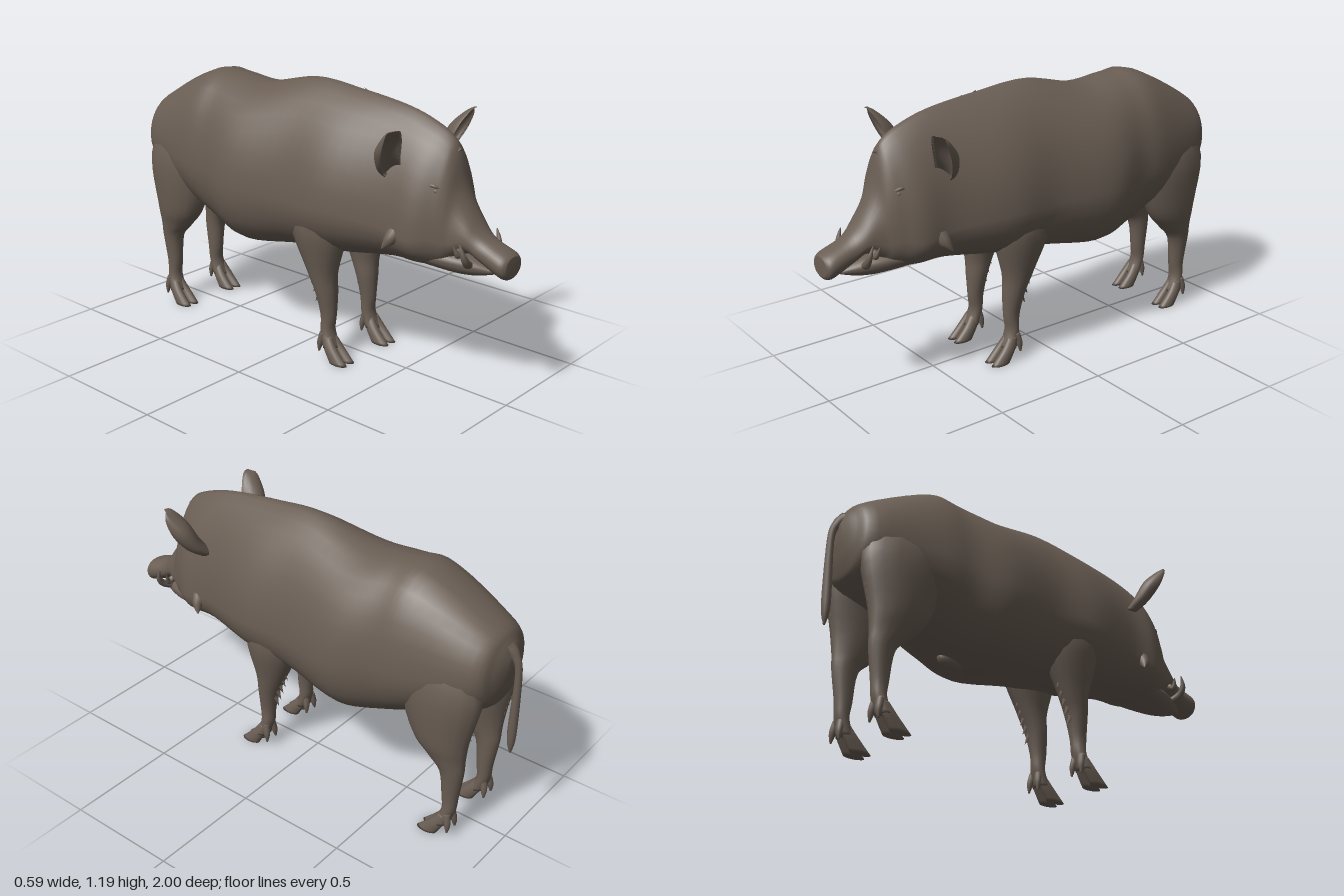
import * as THREE from 'three';

const hide = new THREE.MeshStandardMaterial({ color: 0x6a5e54 });
hide.name = 'brown hide';

// Catmull-Rom interpolation of every column of a table of sections
function smooth(rows, sub) {
  const out = [], last = rows.length - 1;
  for (let i = 0; i < last; i++) {
    const a = rows[Math.max(i - 1, 0)], b = rows[i], c = rows[i + 1], d = rows[Math.min(i + 2, last)];
    for (let k = 0; k < sub; k++) {
      const t = k / sub;
      out.push(b.map((v, j) => v + 0.5 * t * (c[j] - a[j] + t * (2 * a[j] - 5 * v + 4 * c[j] - d[j]
        + t * (3 * (v - c[j]) + d[j] - a[j])))));
    }
  }
  out.push(rows[last]);
  return out;
}

// Closed skin over rings of points; side = -1 mirrors it in x
function skin(rings, side = 1) {
  const n = rings[0].length, pos = [], idx = [];
  rings.forEach(r => r.forEach(p => pos.push(p[0] * side, p[1], p[2])));
  for (let i = 0; i < rings.length - 1; i++) {
    for (let j = 0; j < n; j++) {
      const a = i * n + j, b = i * n + (j + 1) % n;
      idx.push(a, b, a + n, b, b + n, a + n);
    }
  }
  [0, rings.length - 1].forEach(i => {
    const c = [0, 1, 2].map(k => rings[i].reduce((s, p) => s + p[k], 0) / n), m = pos.length / 3;
    pos.push(c[0] * side, c[1], c[2]);
    for (let j = 0; j < n; j++) {
      const a = i * n + j, b = i * n + (j + 1) % n;
      idx.push(...(i ? [a, b, m] : [b, a, m]));
    }
  });
  // turn the faces outward if the enclosed volume is negative
  const P = i => new THREE.Vector3().fromArray(pos, i * 3);
  let vol = 0;
  for (let i = 0; i < idx.length; i += 3) vol += P(idx[i]).dot(P(idx[i + 1]).cross(P(idx[i + 2])));
  if (vol < 0) idx.reverse();
  const g = new THREE.BufferGeometry();
  g.setAttribute('position', new THREE.Float32BufferAttribute(pos, 3));
  g.setIndex(idx);
  g.computeVertexNormals();
  return g;
}

const ring = (n, f) => Array.from({ length: n }, (_, i) => f(Math.cos(i / n * 2 * Math.PI), Math.sin(i / n * 2 * Math.PI)));
const power = (v, e) => Math.sign(v) * Math.abs(v) ** e;

// Sections along z: z, bottom, top, half width, height of widest point, upper pinch.
// The underside is boxiest around the belly.
const trunk = rows => skin(smooth(rows, 5).map(([z, lo, hi, w, mid, a]) => {
  const b = 0.9 - 0.25 * Math.exp(-(((z + 0.25) / 0.25) ** 2));
  return ring(32, (c, s) => [w * power(c, s > 0 ? a : b), mid + s * (s > 0 ? hi - mid : mid - lo), z]);
}));

// Sections along y: y, x, z, half width, half depth
const limb = (rows, side) => skin(smooth(rows, 4).map(([y, x, z, rx, rz]) =>
  ring(16, (c, s) => [x + rx * c, y, z + rz * s])), side);

// Tapered round strand: x, y, z, radius
function strand(rows, side = 1) {
  const r = smooth(rows, 5);
  return skin(r.map((p, i) => {
    const a = r[Math.max(i - 1, 0)], b = r[Math.min(i + 1, r.length - 1)];
    const t = new THREE.Vector3(b[0] - a[0], b[1] - a[1], b[2] - a[2]).normalize();
    const u = new THREE.Vector3(0, 0.3, 1).cross(t).normalize(), v = t.clone().cross(u);
    return ring(10, (c, s) => ['x', 'y', 'z'].map((k, j) => p[j] + p[3] * (u[k] * c + v[k] * s)));
  }), side);
}

export function createModel() {
  const model = new THREE.Group();
  const add = (name, geometry, x = 0, y = 0, z = 0) => {
    const m = new THREE.Mesh(geometry, hide);
    m.name = name;
    m.position.set(x, y, z);
    model.add(m);
    return m;
  };

  // Torso, neck, head and upper snout in one skin
  add('bodyAndHead', trunk([
    [-0.955, 0.8, 0.88, 0.03, 0.84, 1],
    [-0.93, 0.69, 0.94, 0.11, 0.82, 1],
    [-0.87, 0.62, 1, 0.185, 0.8, 0.9],
    [-0.6, 0.51, 1.14, 0.25, 0.76, 0.85],
    [-0.45, 0.45, 1.142, 0.262, 0.74, 0.9],
    [-0.27, 0.42, 1.13, 0.295, 0.71, 1],
    [0, 0.455, 1.185, 0.255, 0.7, 1.3],
    [0.23, 0.475, 1.17, 0.254, 0.7, 1.45],
    [0.48, 0.515, 1.138, 0.192, 0.68, 1.4],
    [0.62, 0.52, 1.095, 0.182, 0.65, 1.4],
    [0.7, 0.525, 1.05, 0.142, 0.66, 1.35],
    [0.735, 0.54, 0.99, 0.122, 0.65, 1.25],
    [0.765, 0.57, 0.86, 0.105, 0.65, 1.1],
    [0.82, 0.605, 0.755, 0.085, 0.66, 1],
    [0.88, 0.575, 0.685, 0.069, 0.625, 0.9],
    [0.975, 0.533, 0.643, 0.071, 0.592, 0.85],
    [1, 0.548, 0.627, 0.05, 0.588, 0.9],
  ]));
  add('lowerJaw', trunk([
    [0.6, 0.525, 0.63, 0.13, 0.58, 1],
    [0.75, 0.512, 0.61, 0.1, 0.57, 0.8],
    [0.84, 0.515, 0.59, 0.065, 0.56, 0.8],
    [0.915, 0.535, 0.558, 0.02, 0.547, 1],
  ]));
  add('sheath', new THREE.SphereGeometry(1, 16, 10), 0, 0.45, -0.39).scale.set(0.035, 0.045, 0.065);
  add('tail', strand([
    [0, 0.91, -0.925, 0.035], [0, 0.88, -0.958, 0.02], [0, 0.8, -0.98, 0.015],
    [0, 0.52, -0.978, 0.019], [0, 0.43, -0.979, 0.004],
  ]));

  // Raised bristle crest from forehead to shoulders
  for (let i = 0; i < 9; i++) {
    const y = 1.01 + 0.145 * Math.sin(Math.min(1, i / 7) * Math.PI / 2);
    const bristle = add('crestBristle', new THREE.ConeGeometry(0.022, 0.07, 6), 0, y, 0.7 - i * 0.07);
    bristle.rotation.x = -0.9;
    bristle.scale.x = 0.6;
  }

  for (const s of [1, -1]) {
    const side = s > 0 ? 'left' : 'right';

    // Upper legs differ; shin, pastern, cloven toes and dewclaws are shared
    const thighs = {
      FrontLeg: [0.2, [
        [0.78, 0.12, 0.12, 0.08, 0.12], [0.6, 0.14, 0.13, 0.1, 0.14],
        [0.4, 0.14, 0.15, 0.062, 0.074], [0.3, 0.135, 0.17, 0.049, 0.05],
      ]],
      HindLeg: [-0.78, [
        [0.9, 0.1, -0.7, 0.08, 0.15], [0.72, 0.13, -0.72, 0.105, 0.19], [0.5, 0.142, -0.735, 0.08, 0.135],
        [0.4, 0.14, -0.77, 0.056, 0.088], [0.33, 0.137, -0.8, 0.043, 0.055],
      ]],
    };
    for (const [name, [z, thigh]] of Object.entries(thighs)) {
      add(side + name, limb([...thigh, [0.2, 0.133, z - 0.02, 0.034, 0.037],
        [0.13, 0.136, z - 0.02, 0.035, 0.03], [0.06, 0.142, z + 0.004, 0.042, 0.033]], s));
      for (const t of [-1, 1]) {
        add(side + 'Toe', limb([
          [0.11, 0.142 + t * 0.014, z - 0.012, 0.018, 0.025],
          [0.06, 0.142 + t * 0.022, z + 0.016, 0.021, 0.034],
          [0, 0.142 + t * 0.024, z + 0.062, 0.023, 0.046],
        ], s));
        add(side + 'Dewclaw', strand([
          [0.142 + t * 0.018, 0.12, z - 0.027, 0.016], [0.142 + t * 0.026, 0.075, z - 0.037, 0.014],
          [0.142 + t * 0.03, 0.035, z - 0.04, 0.004],
        ], s));
      }
    }

    // Cupped ears: a crescent section that leans outward
    add(side + 'Ear', skin(smooth([
      [0.15, 0.9, 0.51, 0.032, 0.03], [0.195, 0.945, 0.535, 0.043, 0.04],
      [0.235, 1.02, 0.565, 0.052, 0.042], [0.262, 1.08, 0.59, 0.036, 0.022], [0.275, 1.1, 0.597, 0.012, 0.008],
    ], 4).map(([x, y, z, w, d]) => ring(20, (c, sn) => [
      x + w * c * 0.88, y - w * c * 0.45, z + 0.015 - d * (sn > 0 ? 1.5 : 0.9) * Math.abs(sn) - 0.015 * c,
    ])), s));

    // Eyes with lids
    add(side + 'Eye', new THREE.SphereGeometry(0.016, 12, 8), s * 0.103, 0.85, 0.697);
    add(side + 'EyeLid', strand([
      [0.118, 0.872, 0.665, 0.004], [0.112, 0.872, 0.695, 0.008], [0.093, 0.858, 0.722, 0.004],
    ], s));

    // Tusks and nostrils
    add(side + 'LowerTusk', strand([
      [0.06, 0.57, 0.835, 0.016], [0.098, 0.59, 0.85, 0.016], [0.122, 0.625, 0.85, 0.012], [0.128, 0.672, 0.835, 0.002],
    ], s));
    add(side + 'UpperTusk', strand([
      [0.07, 0.63, 0.8, 0.016], [0.1, 0.615, 0.81, 0.014], [0.12, 0.655, 0.8, 0.002],
    ], s));
    add(side + 'Nostril', new THREE.TorusGeometry(0.014, 0.004, 6, 14), s * 0.024, 0.59, 0.996);

    // Ragged tufts on cheeks, elbows and hams
    add(side + 'CheekTuft', strand([
      [0.15, 0.67, 0.55, 0.04], [0.185, 0.635, 0.54, 0.025], [0.208, 0.6, 0.52, 0.003],
    ], s));
    for (let i = 0; i < 5; i++) {
      const elbow = add(side + 'ElbowTuft', new THREE.ConeGeometry(0.02, 0.07, 5),
        s * 0.14, 0.43 - i * 0.04, 0.075 + i * 0.013);
      elbow.rotation.x = Math.PI + 0.5;
      const ham = add(side + 'HamTuft', new THREE.ConeGeometry(0.018, 0.07, 5),
        s * 0.135, 0.6 - i * 0.028, -0.88 + i * 0.008);
      ham.rotation.x = Math.PI + 0.4;
    }
  }
  return model;
}
